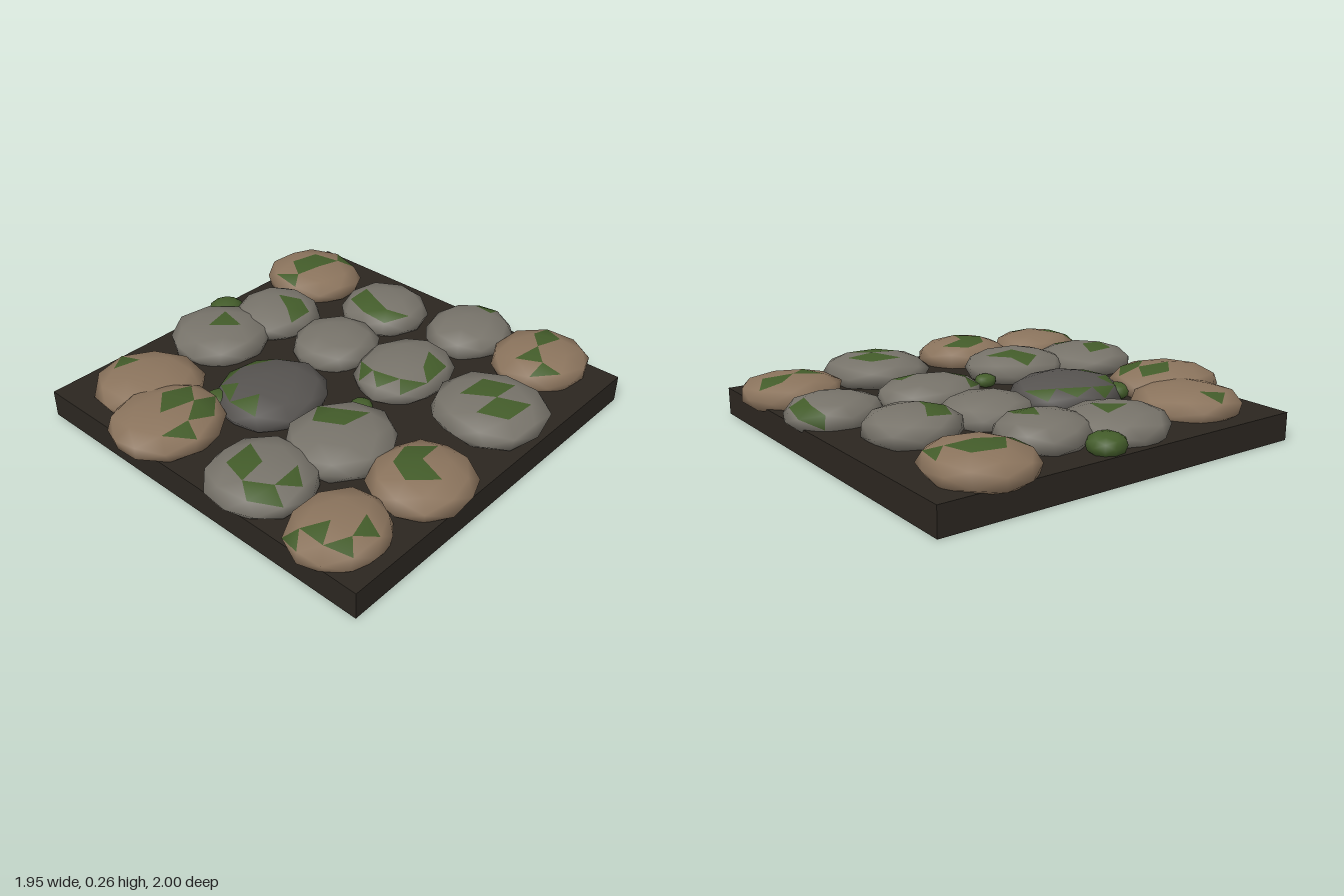
import * as THREE from 'three';
import { mergeVertices } from 'three/addons/utils/BufferGeometryUtils.js';

const BROWN = 0x8b745d, GREY = 0x77736a, DARK = 0x565350, MOSS = 0x435c2a, SOIL = 0x2b2620;

// colour, x, z, radius x, radius z, then an optional moss stroke:
// start angle and radius, end angle and radius within the unit stone
const STONES = [
  [BROWN, -0.73, -0.64, 0.245, 0.225, -1.3, 0.65, -1.6, -0.6],
  [GREY, -0.22, -0.62, 0.22, 0.21, 2.4, 0.6, 0.7, 0.65],
  [GREY, 0.21, -0.76, 0.205, 0.23, -2.4, 0.85, -1.6, 0.75],
  [BROWN, 0.61, -0.77, 0.22, 0.235, -1.9, 0.75, -2.2, -0.55],
  [GREY, -0.6, -0.22, 0.215, 0.21, -0.3, 0.35, 0.1, 0.6],
  [GREY, -0.2, -0.23, 0.205, 0.215],
  [GREY, 0.19, -0.27, 0.22, 0.26, -0.7, 0.65, 2.1, 0.8],
  [GREY, 0.67, -0.28, 0.265, 0.255, -2.3, 0.35, -3.1, -0.3],
  [GREY, -0.67, 0.1, 0.24, 0.24, -1.9, 0.3, -1.9, 0.3],
  [DARK, -0.14, 0.27, 0.25, 0.275, -1.9, 0.8, -5, 0.65],
  [GREY, 0.34, 0.32, 0.235, 0.25, -2.8, 0.5, -1.4, 0.2],
  [BROWN, 0.75, 0.285, 0.22, 0.23, 3.7, 0.35, 0.7, 0.3],
  [BROWN, -0.595, 0.6, 0.26, 0.25, -3, 0.5, -3, 0.5],
  [BROWN, -0.31, 0.735, 0.24, 0.255, -2.1, 0.3, 0.1, 0.75],
  [GREY, 0.26, 0.71, 0.245, 0.245, 2.7, 0.35, -0.1, 0.65],
  [BROWN, 0.69, 0.725, 0.205, 0.225, -0.5, 0.45, 2, 0.65],
];

const MOSS_TUFTS = [[-0.84, -0.1, 0.085], [0.23, 0.07, 0.053], [-0.28, 0.46, 0.065]];

// Low-poly pebble filling a 2 x 2 x 2 box, slightly turned, uneven and flattened on top
function pebble(seed) {
  let g = new THREE.IcosahedronGeometry(1, 1);
  g.deleteAttribute('normal');
  g.deleteAttribute('uv');
  g = mergeVertices(g, 1e-3);
  g.rotateX(0.25 * Math.sin(seed * 2.3)).rotateY(seed * 1.37);
  const p = g.attributes.position;
  for (let i = 0; i < p.count; i++) {
    const k = 1 + 0.03 * Math.sin(i * 5.1 + seed * 3.7);
    const y = p.getY(i);
    p.setXYZ(i, p.getX(i) * k, Math.sign(y) * Math.abs(y) ** 0.8, p.getZ(i) * k);
  }
  g.center();
  g.computeBoundingBox();
  const b = g.boundingBox.max;
  return g.scale(1 / b.x, 1 / b.y, 1 / b.z);
}

// Split the faces into bare stone and the upper faces lying along the moss stroke
function splitMoss(g, stroke) {
  const p = g.attributes.position, ix = g.index.array, faces = [];
  for (let i = 0; i < ix.length; i += 3) {
    const corners = [ix[i], ix[i + 1], ix[i + 2]];
    const middle = new THREE.Vector3();
    corners.forEach((n) => middle.add(new THREE.Vector3().fromBufferAttribute(p, n)));
    faces.push({ corners, middle: middle.divideScalar(3), moss: false });
  }
  if (stroke.length) {
    const [a0, r0, a1, r1] = stroke;
    const upper = faces.filter((f) => f.middle.y > 0.1);
    for (let s = 0; s <= 4; s++) {
      const a = THREE.MathUtils.lerp(a0, a1, s / 4), r = THREE.MathUtils.lerp(r0, r1, s / 4);
      const dist = (f) => Math.hypot(f.middle.x - r * Math.cos(a), f.middle.z - r * Math.sin(a));
      upper.reduce((m, f) => (dist(m) < dist(f) ? m : f)).moss = true;
    }
  }
  return [false, true].map((moss) => faces.filter((f) => f.moss === moss).flatMap((f) => f.corners));
}

export function createModel() {
  const model = new THREE.Group();
  model.name = 'cobblestoneTile';
  const add = (parent, name, geometry, color) => {
    const mesh = new THREE.Mesh(geometry, new THREE.MeshStandardMaterial({ color }));
    mesh.name = name;
    parent.add(mesh);
    return mesh;
  };

  // Soil slab
  add(model, 'soilSlab', new THREE.BoxGeometry(1.86, 0.13, 1.86), SOIL).position.set(0.01, 0.065, -0.02);

  // Cobblestones with mossy faces
  STONES.forEach(([color, x, z, rx, rz, ...stroke], i) => {
    const stone = new THREE.Group();
    stone.name = 'cobblestone' + (i + 1);
    const g = pebble(i + 1);
    const [bare, mossy] = splitMoss(g, stroke);
    g.scale(rx, 0.083, rz).computeVertexNormals();
    // Both parts share vertices and normals so shading runs smoothly across them
    const part = (indices) => {
      const h = new THREE.BufferGeometry();
      h.setAttribute('position', g.attributes.position);
      h.setAttribute('normal', g.attributes.normal);
      h.setIndex(indices);
      return h;
    };
    add(stone, 'stone', part(bare), color);
    if (mossy.length) add(stone, 'mossPatch', part(mossy), MOSS);
    stone.position.set(x, 0.165 + 0.01 * Math.sin(i * 2), z);
    model.add(stone);
  });

  // Small moss tufts in the gaps
  MOSS_TUFTS.forEach(([x, z, r], i) => {
    const g = pebble(i + 30).scale(r, r * 0.6, r);
    g.computeVertexNormals();
    add(model, 'mossTuft' + (i + 1), g, MOSS).position.set(x, 0.16, z);
  });
  return model;
}
